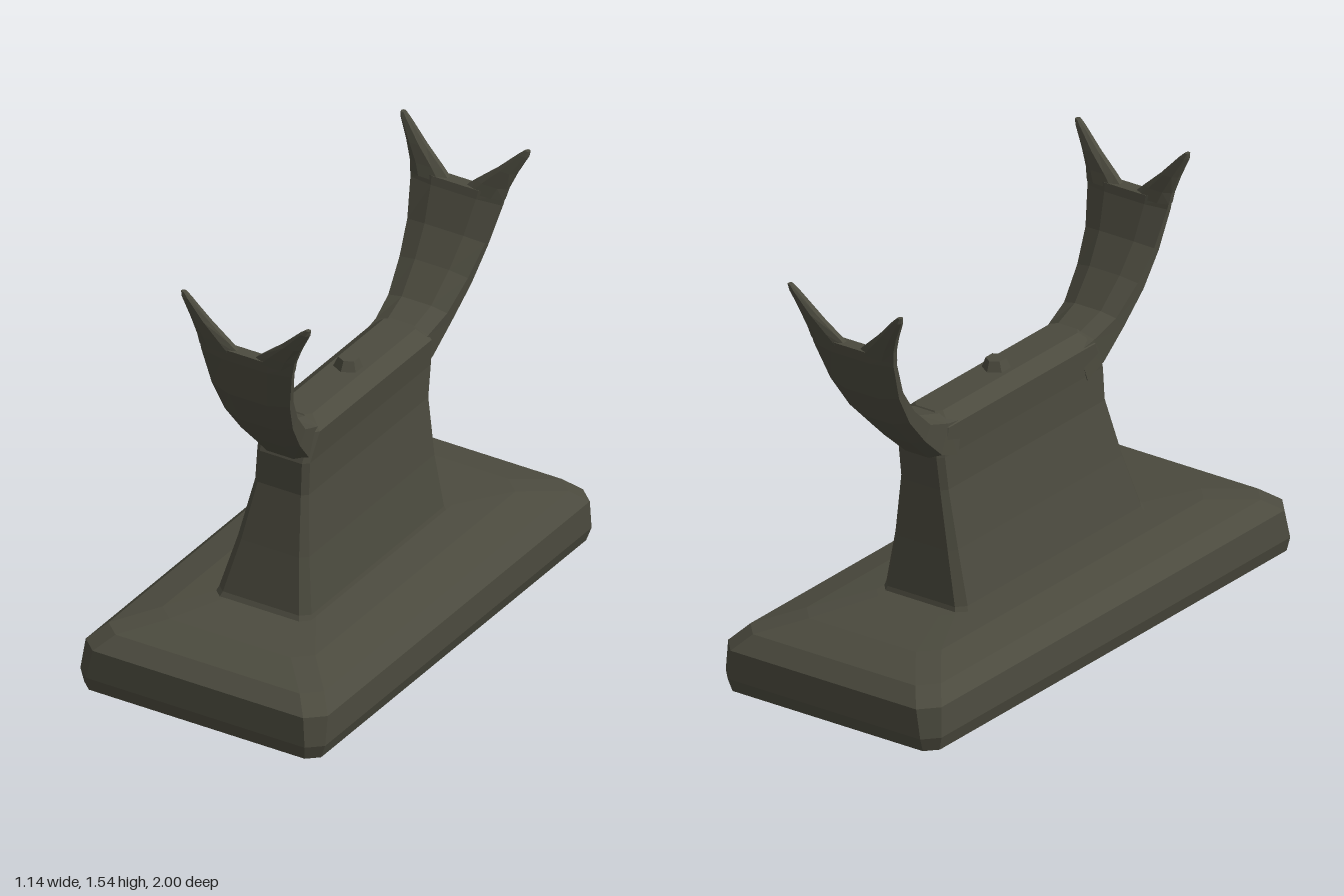
import * as THREE from 'three';

// Skin a list of equal-length rings into a closed, faceted solid facing outwards
function loft(rings) {
  const tris = [];
  const n = rings[0].length;
  for (let i = 0; i < rings.length - 1; i++) {
    for (let j = 0; j < n; j++) {
      const k = (j + 1) % n;
      const [a, b, c, d] = [rings[i][j], rings[i][k], rings[i + 1][k], rings[i + 1][j]];
      tris.push([a, b, c], [a, c, d]);
    }
  }
  const first = rings[0], last = rings[rings.length - 1];
  for (let j = 1; j < n - 1; j++) {
    tris.push([first[0], first[j + 1], first[j]], [last[0], last[j], last[j + 1]]);
  }
  let volume = 0;
  const cross = new THREE.Vector3();
  for (const [a, b, c] of tris) volume += a.dot(cross.crossVectors(b, c));
  const points = tris.flatMap(([a, b, c]) => (volume < 0 ? [a, c, b] : [a, b, c]));
  const geometry = new THREE.BufferGeometry().setFromPoints(points);
  geometry.computeVertexNormals();
  return geometry;
}

// Horizontal rectangle with cut corners
function slabRing(y, hx, hz, cut, cx = 0, cz = 0) {
  return [
    [hx, hz - cut], [hx - cut, hz], [cut - hx, hz], [-hx, hz - cut],
    [-hx, cut - hz], [cut - hx, -hz], [hx - cut, -hz], [hx, cut - hz],
  ].map(([x, z]) => new THREE.Vector3(cx + x, y, cz + z));
}

// Section of a horn between x0 and x1, spanning outer and inner [z, y] points;
// edge is the thickness left at the two sides
function hornRing(x0, x1, outer, inner, edge) {
  const at = (u, t) => new THREE.Vector3(
    THREE.MathUtils.lerp(x0, x1, u),
    THREE.MathUtils.lerp(outer[1], inner[1], t),
    THREE.MathUtils.lerp(outer[0], inner[0], t));
  const lo = 0.5 - edge / 2, hi = 0.5 + edge / 2;
  return [at(0, lo), at(0.25, 0), at(0.75, 0), at(1, lo), at(1, hi), at(0.75, 1), at(0.25, 1), at(0, hi)];
}

export function createModel() {
  const model = new THREE.Group();
  const bronze = new THREE.MeshStandardMaterial({ color: 0x4b4a3e });
  bronze.name = 'dark olive bronze';

  const add = (parent, name, geometry) => {
    const mesh = new THREE.Mesh(geometry, bronze);
    mesh.name = name;
    parent.add(mesh);
    return mesh;
  };

  // The whole piece sits slightly turned and tipped
  const body = new THREE.Group();
  body.name = 'body';
  const up = new THREE.Vector3(0, 1, 0);
  const tilt = new THREE.Quaternion().setFromUnitVectors(up, new THREE.Vector3(0.052, 1, -0.023).normalize());
  const turn = new THREE.Quaternion().setFromAxisAngle(up, 0.122);
  body.quaternion.copy(tilt.multiply(turn));
  body.position.y = 0.04;
  model.add(body);

  // Base slab with worn upper edges
  add(body, 'base', loft([
    slabRing(0, 0.45, 0.94, 0.04),
    slabRing(0.05, 0.465, 0.955, 0.05),
    slabRing(0.155, 0.46, 0.95, 0.06),
    slabRing(0.205, 0.41, 0.89, 0.06),
    slabRing(0.235, 0.29, 0.74, 0.06),
    slabRing(0.245, 0.17, 0.5, 0.04),
  ]));

  // Upright, waisted block with a crowned top
  add(body, 'upright', loft([
    slabRing(0.2, 0.195, 0.51, 0.03, -0.01, 0.04),
    slabRing(0.26, 0.175, 0.48, 0.03, -0.01, 0.035),
    slabRing(0.45, 0.135, 0.45, 0.025, -0.01, 0.025),
    slabRing(0.66, 0.102, 0.425, 0.02, -0.01, 0.012),
    slabRing(0.78, 0.1, 0.43, 0.02, -0.01, 0.01),
    slabRing(0.885, 0.108, 0.4, 0.02, -0.01, 0),
    slabRing(0.925, 0.06, 0.37, 0.02, -0.01, 0),
  ]));

  // Knob in the middle of the saddle
  const knob = add(body, 'knob', new THREE.CylinderGeometry(0.035, 0.06, 0.06, 6).toNonIndexed());
  knob.geometry.computeVertexNormals();
  knob.position.set(-0.01, 0.93, 0);

  // Curved horns at both ends: [half width, outer z y, inner z y, edge]
  const hornSections = [
    [0.098, [0.34, 0.75], [0.3, 0.9], 0.8],
    [0.1, [0.43, 0.78], [0.37, 0.92], 0.7],
    [0.112, [0.525, 0.875], [0.47, 0.955], 0.6],
    [0.13, [0.62, 0.985], [0.565, 1.05], 0.5],
    [0.148, [0.69, 1.11], [0.635, 1.15], 0.4],
    [0.172, [0.735, 1.26], [0.685, 1.27], 0.35],
    [0.178, [0.74, 1.3], [0.692, 1.3], 0.35],
  ];
  // Prong outline: [inner x, outer x, y, outer z, inner z]
  const prongSections = [
    [0.02, 0.177, 1.285, 0.738, 0.69],
    [0.065, 0.185, 1.325, 0.745, 0.7],
    [0.135, 0.208, 1.385, 0.753, 0.712],
    [0.205, 0.242, 1.455, 0.757, 0.73],
    [0.228, 0.245, 1.475, 0.755, 0.737],
  ];
  for (const [name, angle] of [['frontHorn', 0], ['backHorn', Math.PI]]) {
    const horn = new THREE.Group();
    horn.name = name;
    horn.rotation.y = angle;
    horn.position.x = -0.015;
    body.add(horn);
    add(horn, 'hornStem', loft(hornSections.map(([w, o, i, e]) => hornRing(-w, w, o, i, e))));
    for (const side of [-1, 1]) {
      add(horn, 'hornProng', loft(prongSections.map(([x0, x1, y, zo, zi]) =>
        hornRing(side * x0, side * x1, [zo, y], [zi, y], 0.4))));
    }
  }
  return model;
}
